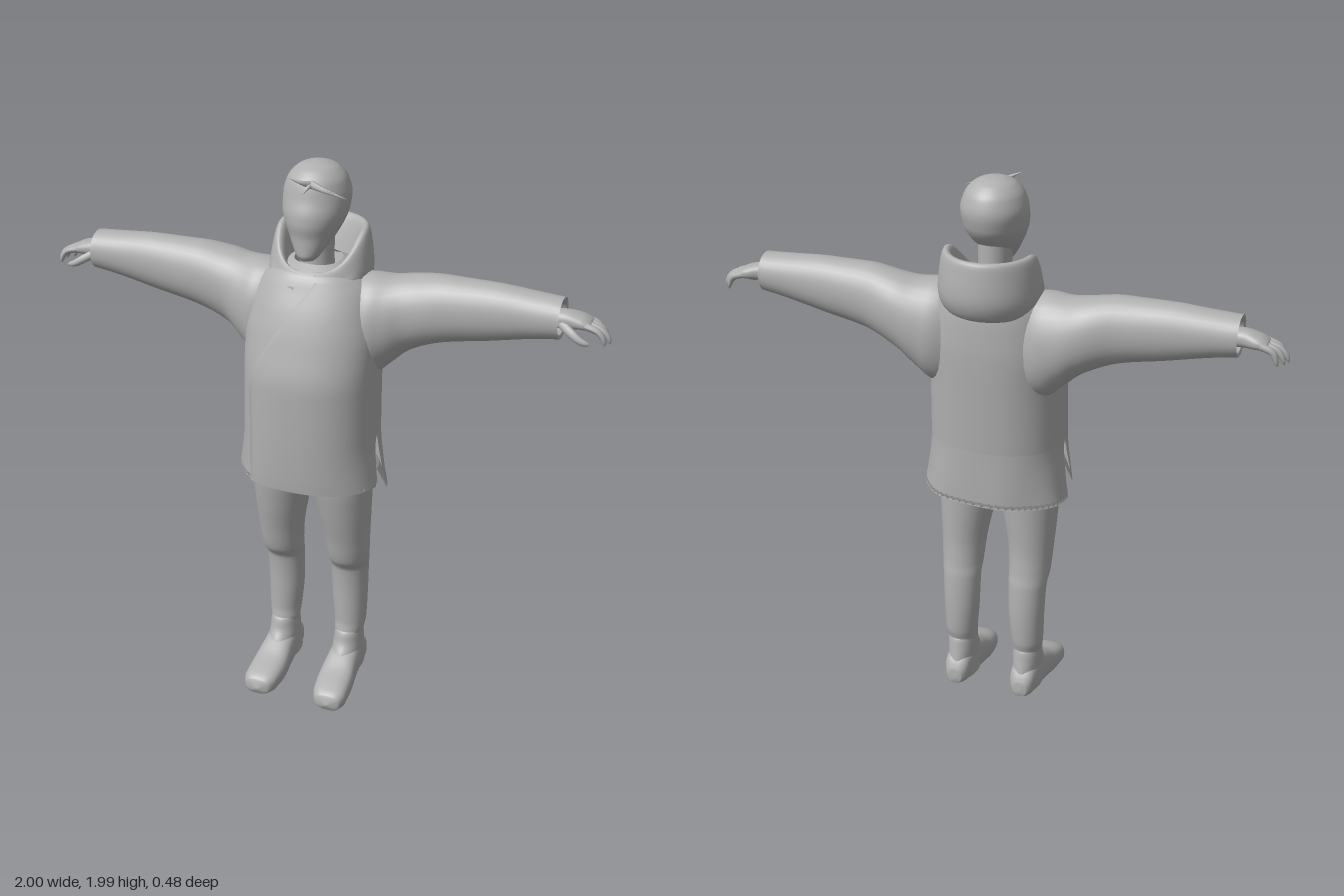
import * as THREE from 'three';
import { mergeVertices } from 'three/addons/utils/BufferGeometryUtils.js';

const clay = new THREE.MeshStandardMaterial({ color: 0xb0b0b0, side: THREE.DoubleSide });
clay.name = 'grey clay';
const lerp = THREE.MathUtils.lerp;
const smooth = THREE.MathUtils.smoothstep;

function mesh(parent, name, geometry) {
  const m = new THREE.Mesh(geometry, clay);
  m.name = name;
  parent.add(m);
  return m;
}

// Smooth surface from fn(i, j) -> [x, y, z] over an nu by nv grid
function grid(nu, nv, fn) {
  const pos = [], index = [];
  for (let j = 0; j <= nv; j++) for (let i = 0; i <= nu; i++) pos.push(...fn(i, j));
  for (let j = 0; j < nv; j++) for (let i = 0; i < nu; i++) {
    const a = j * (nu + 1) + i, b = a + 1, c = a + nu + 1, d = c + 1;
    index.push(a, b, d, a, d, c);
  }
  let g = new THREE.BufferGeometry();
  g.setAttribute('position', new THREE.Float32BufferAttribute(pos, 3));
  g.setIndex(index);
  g = mergeVertices(g, 1e-5);
  g.computeVertexNormals();
  return g;
}

// Monotone cubic interpolation of section rows [t, a0, a1, b0, b1]
function sample(rows, t) {
  let k = 0;
  while (k < rows.length - 2 && t > rows[k + 1][0]) k++;
  const h = rows[k + 1][0] - rows[k][0], u = THREE.MathUtils.clamp((t - rows[k][0]) / h, 0, 1);
  const slope = (i, c) => (rows[i + 1][c] - rows[i][c]) / (rows[i + 1][0] - rows[i][0]);
  const tangent = (i, c) => {
    if (i === 0) return slope(0, c);
    if (i === rows.length - 1) return slope(i - 1, c);
    const p = slope(i - 1, c), q = slope(i, c);
    return p * q <= 0 ? 0 : (2 * p * q) / (p + q);
  };
  return [1, 2, 3, 4].map((c) => {
    const p = rows[k][c], q = rows[k + 1][c], u2 = u * u, u3 = u2 * u;
    return p * (2 * u3 - 3 * u2 + 1) + q * (3 * u2 - 2 * u3)
      + h * (tangent(k, c) * (u3 - 2 * u2 + u) + tangent(k + 1, c) * (u3 - u2));
  });
}

// Point on a section; axis 0, 1, 2 = x, y, z, with a and b the next two axes
function point(axis, rows, angle, t, p = 1, scale = 1) {
  const [a0, a1, b0, b1] = sample(rows, t);
  const pow = (v) => Math.sign(v) * Math.abs(v) ** p * scale;
  const out = [0, 0, 0];
  out[axis] = t;
  out[(axis + 1) % 3] = (a0 + a1) / 2 + (a1 - a0) / 2 * pow(Math.cos(angle));
  out[(axis + 2) % 3] = (b0 + b1) / 2 + (b1 - b0) / 2 * pow(Math.sin(angle));
  return out;
}

function loft(axis, rows, p = 1, n = 32, sub = 5) {
  return grid(n, (rows.length - 1) * sub, (i, j) => {
    const k = Math.min(Math.floor(j / sub), rows.length - 2);
    const t = lerp(rows[k][0], rows[k + 1][0], j / sub - k);
    return point(axis, rows, (i % n) / n * Math.PI * 2, t, p);
  });
}

// Tube along points whose radius follows shape(t)
function taper(points, radius, shape) {
  const curve = new THREE.CatmullRomCurve3(points.map((p) => new THREE.Vector3(...p)));
  const g = new THREE.TubeGeometry(curve, 12, radius, 10);
  const pos = g.attributes.position, v = new THREE.Vector3();
  for (let i = 0; i < pos.count; i++) {
    const t = Math.floor(i / 11) / 12, c = curve.getPointAt(t);
    v.fromBufferAttribute(pos, i).sub(c).multiplyScalar(shape(t)).add(c);
    pos.setXYZ(i, v.x, v.y, v.z);
  }
  g.computeVertexNormals();
  return g;
}
const rounded = (t) => Math.sqrt(Math.max(0, 1 - t ** 5)) * (1 - 0.25 * t);
const spike = (t) => 1 - 0.97 * t;

// Coat sections: height, back z, front z, right x, left x
const coat = [
  [0.83, -0.178, 0.205, -0.268, 0.268], [0.92, -0.18, 0.212, -0.252, 0.252],
  [1.05, -0.18, 0.215, -0.238, 0.238], [1.25, -0.188, 0.212, -0.236, 0.236],
  [1.4, -0.192, 0.178, -0.238, 0.238], [1.5, -0.188, 0.145, -0.222, 0.222],
  [1.57, -0.18, 0.112, -0.2, 0.2], [1.62, -0.165, 0.085, -0.15, 0.15],
  [1.65, -0.12, 0.04, -0.08, 0.08],
];
const SLIT = 1.05, P = 0.88;

function addCoat(parent) {
  const g = new THREE.Group();
  g.name = 'coat';
  parent.add(g);
  mesh(g, 'coatBody', loft(1, coat.slice(2), P, 56, 5));

  // Front and back skirt panels, parted by side slits and folded in at the hem
  const gap = (y, w) => w * Math.sqrt(Math.max(0, (SLIT - y) / 0.2));
  const panel = (mid, hem, w) => grid(32, 12, (i, j) => {
    const y = j === 0 ? hem + 0.07 : lerp(hem, SLIT, (j - 1) / 11);
    const half = Math.PI / 2 - gap(y, w), u = i / 16 - 1;
    const ripple = 1 + 0.012 * Math.sin(u * 11) * smooth(SLIT - y, 0, 0.2);
    return point(1, coat, mid + u * half, y, P, j === 0 ? 0.93 : ripple);
  });
  mesh(g, 'skirtFront', panel(0, 0.88, 0.14));
  mesh(g, 'skirtBack', panel(Math.PI, 0.84, 0.06));

  // Overlapping front flap with a diagonal edge up to the collar
  mesh(g, 'frontFlap', grid(25, 30, (i, j) => {
    const y = lerp(0.875, 1.61, j / 30);
    const rx = sample(coat, y)[3];
    const x = -0.16 + 0.18 * smooth(y, 1.22, 1.66) + 0.03 * smooth(y, 1.5, 1.65);
    const start = Math.sign(x) * Math.asin(Math.min(1, Math.abs(x / rx)) ** (1 / P));
    const u = Math.max(0, i - 1) / 24;
    const end = Math.PI / 2 - 0.08 - gap(y, 0.14);
    return point(1, coat, lerp(start, end, u), y, P, i === 0 ? 0.98 : lerp(1.04, 1.004, u));
  }));

  // Folded hood around the neck, open at the front
  mesh(g, 'hood', grid(48, 30, (i, j) => {
    const a = lerp(0.2, Math.PI * 2 - 0.2, i / 48), b = (1 - Math.cos(a)) / 2;
    const rim = lerp(1.635, 1.752, smooth(b, 0, 0.62));
    const profile = new THREE.SplineCurve([
      [0.088, 1.57], [0.108 + 0.03 * b, rim - 0.025], [0.13 + 0.04 * b, rim],
      [0.152 + 0.03 * b, rim - 0.045], [0.165 + 0.022 * b, lerp(1.585, 1.61, b)],
      [0.15, 1.545], [0.088, 1.57],
    ].map((q) => new THREE.Vector2(...q)));
    const q = profile.getPoint(j / 30);
    return [Math.sin(a) * q.x, q.y, Math.cos(a) * q.x - 0.055];
  }));
}

function addHead(parent) {
  const g = new THREE.Group();
  g.name = 'head';
  parent.add(g);
  mesh(g, 'skull', loft(1, [
    [1.672, 0.06, 0.06, 0, 0], [1.677, 0.03, 0.088, -0.025, 0.025], [1.7, 0, 0.1, -0.045, 0.045],
    [1.75, -0.07, 0.1, -0.076, 0.076], [1.8, -0.124, 0.108, -0.1, 0.1], [1.83, -0.14, 0.106, -0.109, 0.109],
    [1.88, -0.15, 0.09, -0.113, 0.113], [1.93, -0.138, 0.076, -0.1, 0.1], [1.965, -0.108, 0.045, -0.072, 0.072],
    [1.982, -0.07, 0.005, -0.036, 0.036], [1.987, -0.032, -0.032, 0, 0],
  ], 1, 40));
  mesh(g, 'neck', loft(1, [[1.55, -0.1, 0.045, -0.066, 0.066], [1.66, -0.09, 0.035, -0.056, 0.056],
    [1.8, -0.09, 0.03, -0.056, 0.056]]));
  // Forelock of pointed strands
  for (const [x, y, z, r] of [[0.145, 1.908, 0.085, 0.014], [0.115, 1.925, 0.095, 0.01],
    [-0.045, 1.962, 0.108, 0.013], [0.0, 1.912, 0.108, 0.012]]) {
    mesh(g, 'forelock', taper([[0.015, 1.935, 0.065], [lerp(0.02, x, 0.4), lerp(1.938, y, 0.3), 0.09], [x, y, z]], r, spike));
  }
}

// Left arm along +x
function buildArm() {
  const g = new THREE.Group();
  mesh(g, 'sleeve', loft(0, [
    [0.1, 1.24, 1.6, -0.14, 0.06], [0.2, 1.25, 1.618, -0.178, 0.085], [0.26, 1.3, 1.615, -0.178, 0.066],
    [0.33, 1.36, 1.625, -0.172, 0.042], [0.45, 1.41, 1.64, -0.145, 0.035], [0.6, 1.44, 1.64, -0.13, 0.025],
    [0.76, 1.475, 1.63, -0.12, 0.02], [0.84, 1.488, 1.625, -0.115, 0.02],
  ], 0.95));
  mesh(g, 'cuffLining', loft(0, [[0.78, 1.555, 1.555, -0.05, -0.05], [0.785, 1.51, 1.6, -0.095, 0],
    [0.835, 1.5, 1.612, -0.103, 0.008], [0.84, 1.488, 1.625, -0.115, 0.02]], 0.95));
  mesh(g, 'palm', loft(0, [[0.78, 1.52, 1.58, -0.085, -0.02], [0.85, 1.525, 1.585, -0.09, -0.015],
    [0.9, 1.528, 1.575, -0.103, -0.015], [0.93, 1.53, 1.56, -0.1, -0.02], [0.94, 1.545, 1.545, -0.06, -0.06]], 0.85));
  [[-0.094, 0.972], [-0.073, 0.99], [-0.051, 1.0], [-0.029, 0.988]].forEach(([z, tip]) => {
    mesh(g, 'finger', taper([[0.91, 1.55, z], [lerp(0.92, tip, 0.6), 1.533, z], [tip - 0.008, 1.508, z], [tip - 0.002, 1.487, z]], 0.013, rounded));
  });
  mesh(g, 'thumb', taper([[0.84, 1.545, -0.03], [0.88, 1.525, -0.006], [0.915, 1.505, 0.002], [0.945, 1.498, 0]], 0.017, rounded));
  return g;
}

// Left leg with boot
function buildLeg() {
  const g = new THREE.Group();
  mesh(g, 'trouserLeg', loft(1, [
    [0.14, -0.085, 0.02, 0.085, 0.17], [0.2, -0.088, 0.03, 0.075, 0.178], [0.25, -0.1, 0.022, 0.07, 0.186],
    [0.36, -0.105, 0.022, 0.06, 0.19], [0.48, -0.1, 0.03, 0.056, 0.195], [0.53, -0.092, 0.06, 0.053, 0.202],
    [0.62, -0.085, 0.082, 0.045, 0.208], [0.75, -0.088, 0.112, 0.02, 0.216], [0.87, -0.092, 0.13, -0.004, 0.222],
    [1.0, -0.1, 0.13, -0.01, 0.215], [1.02, 0.01, 0.01, 0.1, 0.1],
  ]));
  mesh(g, 'bootShaft', loft(1, [[0.05, -0.12, 0.07, 0.07, 0.18], [0.12, -0.11, 0.075, 0.073, 0.18],
    [0.17, -0.1, 0.045, 0.074, 0.18], [0.215, -0.09, 0.03, 0.078, 0.176], [0.22, -0.03, -0.03, 0.125, 0.125]]));
  mesh(g, 'bootFoot', loft(2, [
    [-0.127, 0.125, 0.125, 0.06, 0.06], [-0.122, 0.1, 0.155, 0.04, 0.1], [-0.09, 0.08, 0.175, 0.03, 0.145],
    [-0.02, 0.072, 0.182, 0.018, 0.17], [0.05, 0.068, 0.188, 0.012, 0.145], [0.12, 0.064, 0.196, 0.004, 0.108],
    [0.19, 0.072, 0.198, 0, 0.084], [0.225, 0.09, 0.185, 0.003, 0.066], [0.24, 0.137, 0.137, 0.03, 0.03],
  ], 0.75));
  return g;
}

export function createModel() {
  const model = new THREE.Group();
  model.name = 'hoodedFigure';
  addHead(model);
  addCoat(model);
  mesh(model, 'hips', loft(1, [[0.845, 0, 0.03, -0.03, 0.03], [0.87, -0.06, 0.09, -0.1, 0.1],
    [0.93, -0.13, 0.15, -0.21, 0.21], [1.05, -0.15, 0.17, -0.21, 0.21], [1.1, 0, 0, 0, 0]]));
  for (const [side, s] of [['left', 1], ['right', -1]]) {
    for (const [part, build] of [['Arm', buildArm], ['Leg', buildLeg]]) {
      const limb = build();
      limb.name = side + part;
      limb.scale.x = s;
      model.add(limb);
    }
  }
  return model;
}
